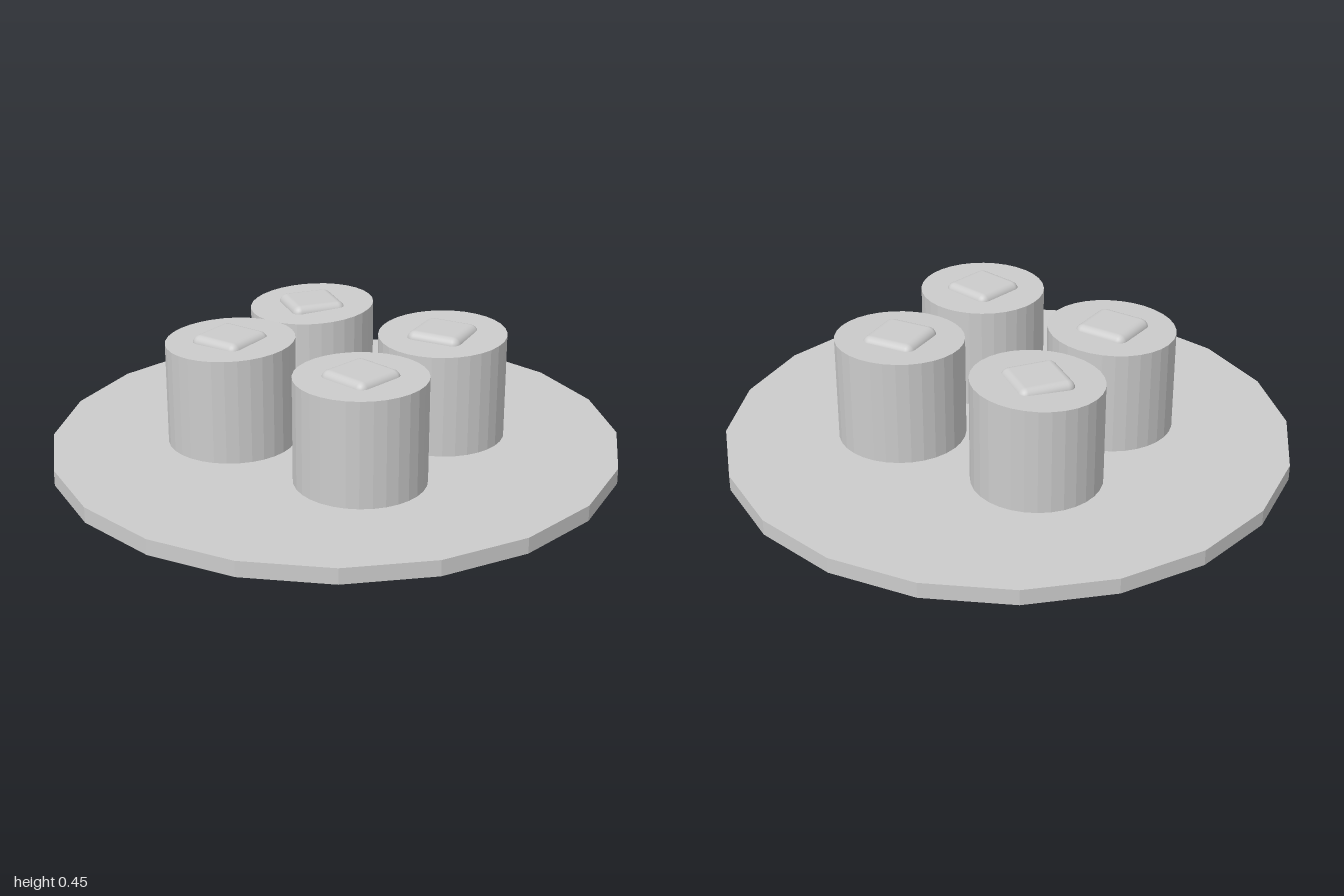
import * as THREE from 'three';
import { RoundedBoxGeometry } from 'three/addons/geometries/RoundedBoxGeometry.js';

const PLATE_H = 0.055, RADIUS = 0.225, TOP = 0.424;

export function createModel() {
  const model = new THREE.Group();
  model.name = 'servedPlate';
  const flat = new THREE.MeshStandardMaterial({ color: 0xcccccc, flatShading: true });
  const smooth = new THREE.MeshStandardMaterial({ color: 0xcccccc });

  // Low-poly round plate
  const plate = new THREE.Mesh(new THREE.CylinderGeometry(1, 1, PLATE_H, 20), flat);
  plate.name = 'plate';
  plate.position.y = PLATE_H / 2;
  model.add(plate);

  // Upright drum whose top leans slightly: slopes are rise per unit of x and z
  function drumGeometry(slopeX, slopeZ) {
    const h = TOP - PLATE_H;
    const g = new THREE.CylinderGeometry(RADIUS, RADIUS, h, 32);
    g.translate(0, h / 2, 0);
    const p = g.attributes.position;
    for (let i = 0; i < p.count; i++) {
      if (p.getY(i) > h / 2) p.setY(i, h + slopeX * p.getX(i) + slopeZ * p.getZ(i));
    }
    g.computeVertexNormals();
    return g;
  }

  // Four drums, each with a rounded pat half sunk in its top
  const pieces = [
    { name: 'backLeft', x: 0.235, z: -0.275, turn: -0.6, slope: [0.04, 0.03] },
    { name: 'backRight', x: -0.24, z: -0.275, turn: 0, slope: [0.02, 0.03] },
    { name: 'frontLeft', x: 0.235, z: 0.29, turn: 0.13, slope: [0.04, 0] },
    { name: 'frontRight', x: -0.265, z: 0.29, turn: -0.16, slope: [0, 0.01] },
  ];
  for (const { name, x, z, turn, slope } of pieces) {
    const piece = new THREE.Group();
    piece.name = name + 'Piece';
    piece.position.set(x, PLATE_H, z);

    const drum = new THREE.Mesh(drumGeometry(...slope), flat);
    drum.name = name + 'Drum';

    const pat = new THREE.Mesh(new RoundedBoxGeometry(0.2, 0.08, 0.2, 3, 0.03), smooth);
    pat.name = name + 'Pat';
    pat.position.y = 0.446 - PLATE_H - 0.04;
    pat.rotation.y = turn;

    piece.add(drum, pat);
    model.add(piece);
  }
  return model;
}
